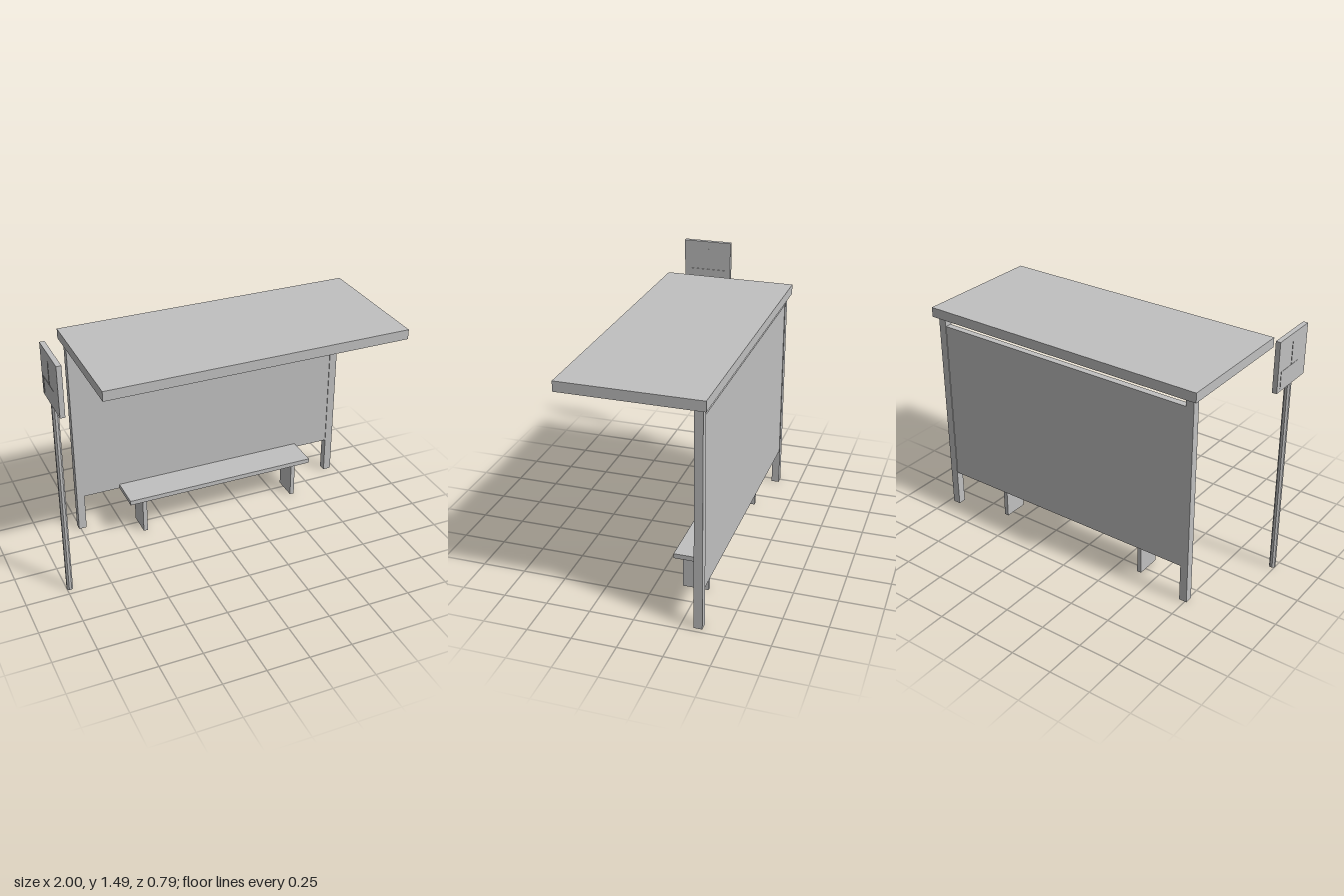
import * as THREE from 'three';

export function createModel() {
  const model = new THREE.Group();
  model.name = 'busShelter';
  const grey = new THREE.MeshStandardMaterial({ color: 0xc0c0c0 });
  grey.name = 'light grey';

  // Box given by its lower and upper bounds on each axis
  function box(name, [x0, x1], [y0, y1], [z0, z1], parent = model) {
    const mesh = new THREE.Mesh(new THREE.BoxGeometry(x1 - x0, y1 - y0, z1 - z0), grey);
    mesh.position.set((x0 + x1) / 2, (y0 + y1) / 2, (z0 + z1) / 2);
    mesh.name = name;
    parent.add(mesh);
    return mesh;
  }

  // Shelter: roof slab, two rear posts and the back panel between them
  const shelter = new THREE.Group();
  shelter.name = 'shelter';
  model.add(shelter);
  box('roof', [-0.785, 1], [1.267, 1.325], [-0.395, 0.395], shelter);
  for (const [name, x] of [['rightPost', -0.76], ['leftPost', 0.925]]) {
    box(name, [x, x + 0.047], [0, 1.267], [-0.372, -0.325], shelter);
  }
  box('backPanel', [-0.713, 0.925], [0.225, 1.215], [-0.368, -0.329], shelter);

  // Bench: plank seat on two slab legs
  const bench = new THREE.Group();
  bench.name = 'bench';
  model.add(bench);
  box('seat', [-0.49, 0.7], [0.226, 0.254], [-0.325, -0.125], bench);
  for (const [name, x] of [['rightLeg', -0.405], ['leftLeg', 0.589]]) {
    box(name, [x, x + 0.026], [0, 0.226], [-0.298, -0.15], bench);
  }

  // Stop sign: eight-sided pole carrying a square board
  const sign = new THREE.Group();
  sign.name = 'stopSign';
  model.add(sign);
  const poleHeight = 1.193;
  const poleGeometry = new THREE.CylinderGeometry(0.0185, 0.0185, poleHeight, 8).rotateY(Math.PI / 8).toNonIndexed();
  poleGeometry.computeVertexNormals();
  const pole = new THREE.Mesh(poleGeometry, grey);
  pole.name = 'pole';
  pole.position.set(-0.983, poleHeight / 2, 0.2);
  sign.add(pole);
  box('board', [-0.998, -0.97], [1.193, 1.487], [0.05, 0.347], sign);

  // Thin raised ribs on both faces of the board
  const inner = [-0.97, -0.966];
  const outer = [-1, -0.998];
  box('innerUprightRib', inner, [1.193, 1.44], [0.188, 0.191], sign);
  box('innerCrossRib', inner, [1.305, 1.308], [0.08, 0.32], sign);
  box('outerUprightRib', outer, [1.305, 1.44], [0.188, 0.191], sign);
  box('outerCrossRib', outer, [1.305, 1.308], [0.08, 0.26], sign);
  box('outerLowerRib', outer, [1.21, 1.305], [0.08, 0.083], sign);

  return model;
}
